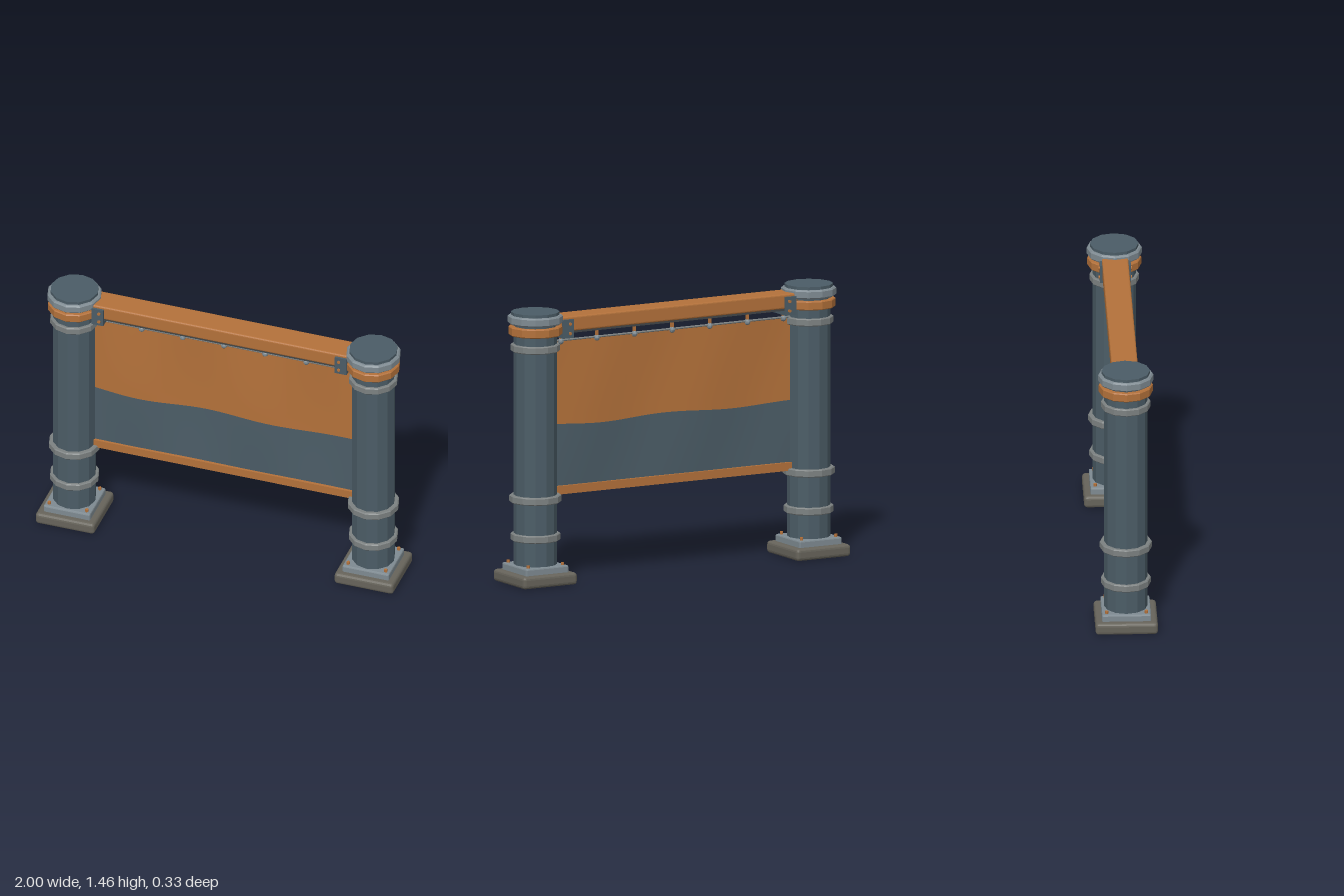
import * as THREE from 'three';
import { RoundedBoxGeometry } from 'three/addons/geometries/RoundedBoxGeometry.js';

export function createModel() {
  const model = new THREE.Group();
  model.name = 'bannerGate';

  const mat = (name, color, extra = {}) => {
    const m = new THREE.MeshStandardMaterial({ color, flatShading: true, ...extra });
    m.name = name;
    return m;
  };
  const slate = mat('slate', 0x4b5c66);
  const copper = mat('copper', 0xb3713a);
  const grey = mat('grey', 0x7c8181);
  const steel = mat('steel', 0x7e8a91);
  const stone = mat('stone', 0x66635a);
  const dark = mat('darkSteel', 0x424648);
  const copperCloth = mat('copperCloth', 0xb3713a, { side: THREE.DoubleSide, flatShading: false });
  const slateCloth = mat('slateCloth', 0x4b5c66, { side: THREE.DoubleSide, flatShading: false });

  const add = (parent, name, geometry, material, x = 0, y = 0, z = 0) => {
    const mesh = new THREE.Mesh(geometry, material);
    mesh.name = name;
    mesh.position.set(x, y, z);
    parent.add(mesh);
    return mesh;
  };
  const box = (w, h, d) => new THREE.BoxGeometry(w, h, d);

  // Twelve-sided band with chamfered edges, from y0 to y1
  const band = (r, y0, y1, c = 0.005) => new THREE.LatheGeometry([
    [0, y0], [r - c, y0], [r, y0 + c], [r, y1 - c], [r - c, y1], [0, y1],
  ].map(([x, y]) => new THREE.Vector2(x, y)), 12);

  // Posts
  for (const side of [-1, 1]) {
    const post = new THREE.Group();
    post.name = side > 0 ? 'leftPost' : 'rightPost';
    post.position.x = side * 0.835;
    model.add(post);

    add(post, 'foot', new RoundedBoxGeometry(0.33, 0.065, 0.33, 2, 0.018), stone, 0, 0.0325);
    add(post, 'basePlate', new RoundedBoxGeometry(0.26, 0.045, 0.26, 1, 0.008), steel, 0, 0.0795);
    for (const x of [-0.105, 0.105]) for (const z of [-0.105, 0.105])
      add(post, 'baseBolt', new THREE.CylinderGeometry(0.009, 0.009, 0.016, 6), copper, x, 0.109, z);

    add(post, 'column', new THREE.CylinderGeometry(0.115, 0.115, 1.31, 12), slate, 0, 0.745);
    add(post, 'lowerRing', band(0.132, 0.23, 0.27), grey);
    add(post, 'middleRing', band(0.138, 0.435, 0.475), grey);
    add(post, 'upperRing', band(0.131, 1.245, 1.285), grey);
    add(post, 'copperRing', band(0.143, 1.333, 1.381), copper);
    add(post, 'capRing', band(0.146, 1.393, 1.441, 0.008), steel);
    add(post, 'capDisc', new THREE.CylinderGeometry(0.129, 0.129, 0.02, 12), slate, 0, 1.447);
  }

  // Top beam with a dark strip underneath
  add(model, 'beam', new RoundedBoxGeometry(1.46, 0.08, 0.14, 2, 0.01), copper, 0, 1.384);
  add(model, 'beamUnderside', box(1.46, 0.012, 0.125), dark, 0, 1.34);

  // Brackets holding the beam ends
  for (const side of [-1, 1]) {
    const bracket = new THREE.Group();
    bracket.name = side > 0 ? 'leftBracket' : 'rightBracket';
    bracket.position.x = side * 0.68;
    model.add(bracket);
    add(bracket, 'bracketShelf', box(0.066, 0.024, 0.15), slate, 0, 1.322);
    for (const z of [-1, 1]) {
      add(bracket, 'bracketPlate', box(0.066, 0.1, 0.014), slate, 0, 1.36, z * 0.075);
      for (const y of [1.335, 1.386]) {
        const bolt = add(bracket, 'bracketBolt',
          new THREE.CylinderGeometry(0.009, 0.009, 0.01, 6), copper, -side * 0.01, y, z * 0.084);
        bolt.rotation.x = Math.PI / 2;
      }
    }
  }

  // Rail and hangers
  const rail = add(model, 'rail', new THREE.CylinderGeometry(0.006, 0.006, 1.46, 8), grey, 0, 1.287);
  rail.rotation.z = Math.PI / 2;
  for (let i = -3; i <= 3; i++) {
    const x = i === 0 ? 0 : Math.sign(i) * [0, 0.23, 0.46, 0.68][Math.abs(i)];
    add(model, 'hangerStrap', box(0.014, 0.05, 0.014), copper, x, 1.312);
    add(model, 'hangerKnob', new THREE.SphereGeometry(0.017, 8, 6), steel, x, 1.282);
  }

  // Gently rippled banner, made of two colour fields sharing one wavy seam
  const seam = x => 0.834 + 0.008 * Math.cos(x * 7.8);
  const cloth = (name, bottom, top, material) => {
    const g = new THREE.PlaneGeometry(1.46, 1, 48, 8);
    const p = g.attributes.position;
    for (let i = 0; i < p.count; i++) {
      const x = p.getX(i), t = p.getY(i) + 0.5;
      const y = THREE.MathUtils.lerp(bottom(x), top(x), t);
      const slack = Math.sin(Math.PI * (y - 0.47) / 0.82);
      p.setXYZ(i, x, y, 0.01 * slack * Math.sin(x * 9));
    }
    g.computeVertexNormals();
    add(model, name, g, material);
  };
  cloth('bannerUpper', seam, () => 1.29, copperCloth);
  cloth('bannerLower', () => 0.48, seam, slateCloth);
  add(model, 'bannerHem', box(1.46, 0.045, 0.03), copper, 0, 0.485);

  return model;
}
